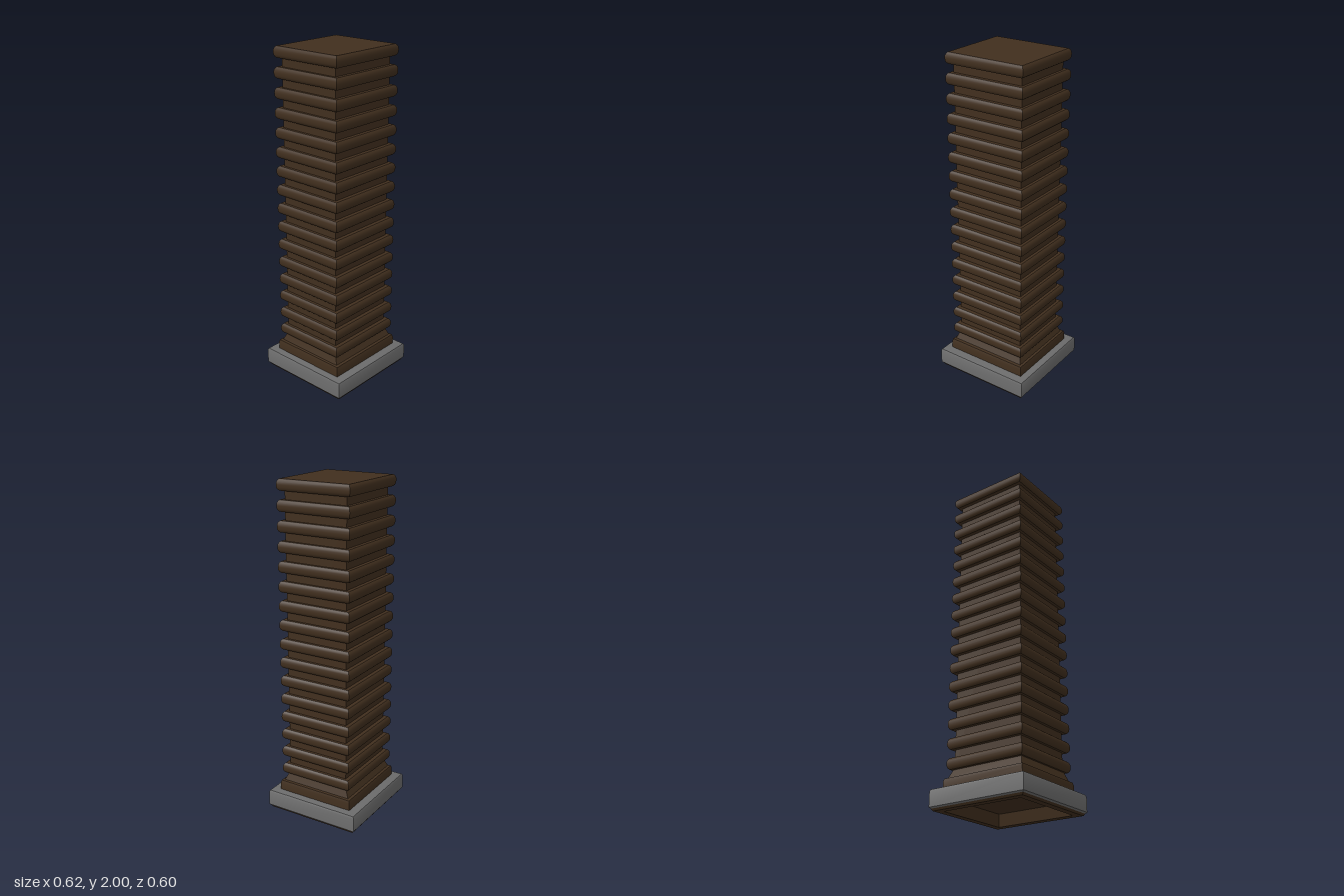
import * as THREE from 'three';
import { toCreasedNormals } from 'three/addons/utils/BufferGeometryUtils.js';

const brown = new THREE.MeshStandardMaterial({ color: 0x412f1e });
const stone = new THREE.MeshStandardMaterial({ color: 0x6b6b6b });

// Joins rectangular rings [halfX, halfZ, y], listed so that walls face outward going up
function loft(name, rings, material) {
  const pos = [];
  const index = [];
  for (const [x, z, y] of rings) pos.push(x, y, z, x, y, -z, -x, y, -z, -x, y, z);
  for (let r = 0; r < rings.length - 1; r++) {
    for (let i = 0; i < 4; i++) {
      const a = r * 4 + i;
      const b = r * 4 + (i + 1) % 4;
      index.push(a, b, b + 4, a, b + 4, a + 4);
    }
  }
  const geo = new THREE.BufferGeometry();
  geo.setAttribute('position', new THREE.Float32BufferAttribute(pos, 3));
  geo.setIndex(index);
  const mesh = new THREE.Mesh(toCreasedNormals(geo, 0.6), material);
  mesh.name = name;
  return mesh;
}

export function createModel() {
  const group = new THREE.Group();
  group.name = 'ribbedPillar';

  // Stone plinth with softened upper edge
  group.add(loft('plinth', [
    [0.3, 0.293, 0.012], [0.308, 0.3, 0.02], [0.308, 0.3, 0.105],
    [0.303, 0.295, 0.116], [0.29, 0.283, 0.12], [0, 0, 0.12],
  ], stone));

  // Dark underside with a shallow recess
  group.add(loft('underside', [
    [0, 0, 0.07], [0.235, 0.225, 0.07], [0.25, 0.242, 0],
    [0.292, 0.285, 0], [0.3, 0.293, 0.012],
  ], brown));

  // Flared collar at the foot of the shaft
  group.add(loft('collar', [
    [0.262, 0.244, 0.118], [0.262, 0.244, 0.165], [0.258, 0.239, 0.18],
    [0.245, 0.224, 0.184], [0.228, 0.201, 0.232], [0, 0, 0.232],
  ], brown));

  // Plain core seen between the ribs
  group.add(loft('shaft', [
    [0.223, 0.196, 0.2], [0.223, 0.196, 1.97], [0, 0, 1.97],
  ], brown));

  // Evenly stacked rounded ribs
  const half = 0.0325;
  const bulge = [[-1, 0.013], [-0.8, 0.006], [-0.45, 0.001], [0, 0],
    [0.45, 0.001], [0.8, 0.006], [1, 0.013]];
  const count = 16;
  for (let i = 0; i < count; i++) {
    const y = 0.264 + i * (2 - half - 0.264) / (count - 1);
    const rings = bulge.map(([t, inset]) => [0.253 - inset, 0.232 - inset, y + t * half]);
    rings.unshift([0, 0, y - half]);
    rings.push([0, 0, y + half]);
    group.add(loft('rib' + (i + 1), rings, brown));
  }
  return group;
}
